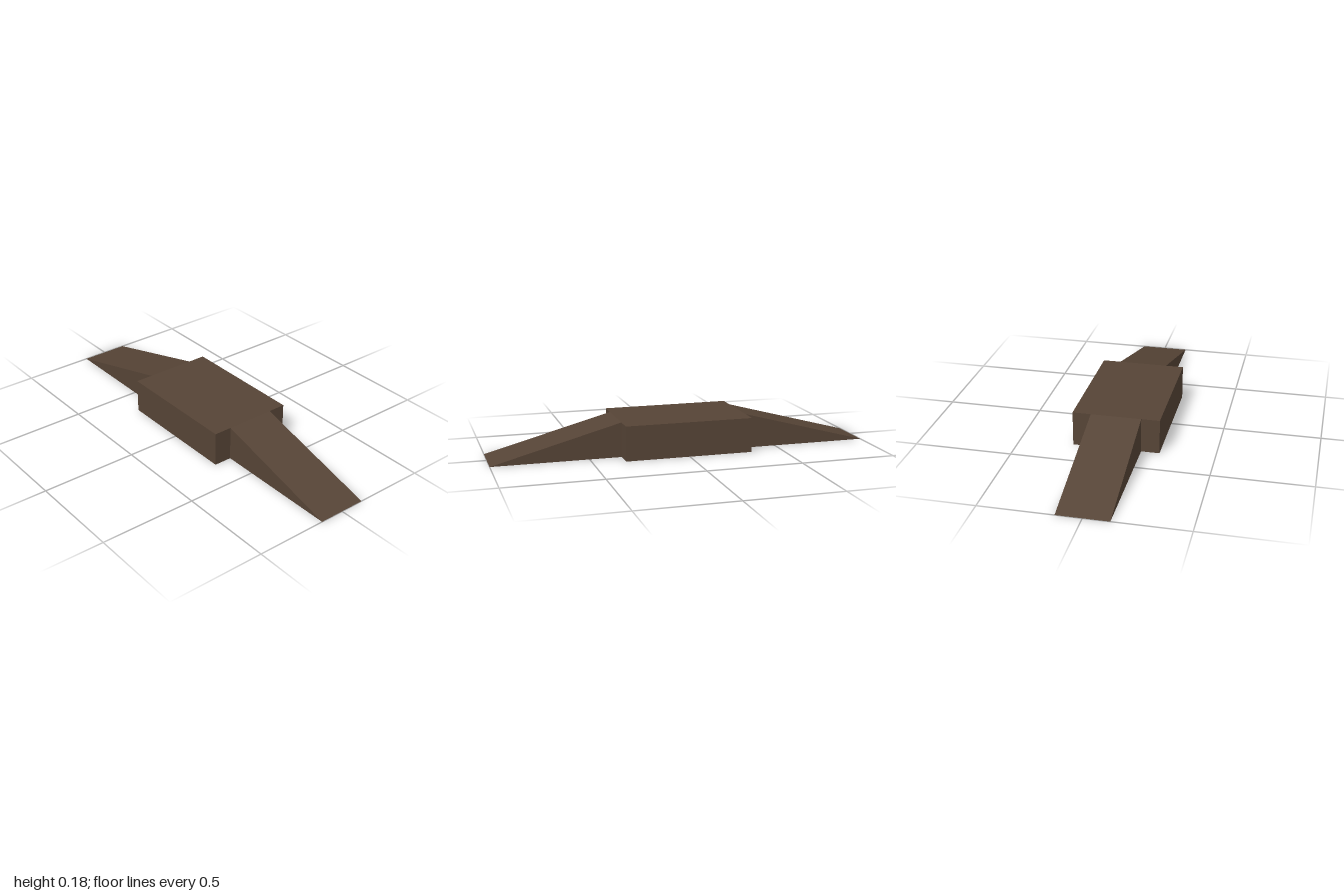
import * as THREE from 'three';

export function createModel() {
  const model = new THREE.Group();
  const brown = new THREE.MeshStandardMaterial({ color: 0x564436 });
  brown.name = 'darkBrown';

  const height = 0.18, deckHalf = 0.334, deckDepth = 0.444, rampDepth = 0.257;

  // Raised central platform
  const deck = new THREE.Mesh(new THREE.BoxGeometry(deckHalf * 2, height, deckDepth), brown);
  deck.name = 'platform';
  deck.position.y = height / 2;
  model.add(deck);

  // Wedge ramp, running down from the platform to the ground
  const profile = new THREE.Shape([
    new THREE.Vector2(deckHalf, 0),
    new THREE.Vector2(1, 0),
    new THREE.Vector2(deckHalf, height),
  ]);
  const wedge = new THREE.ExtrudeGeometry(profile, { depth: rampDepth, bevelEnabled: false });
  wedge.translate(0, 0, -rampDepth / 2);

  // One ramp on each side
  for (const [name, turn] of [['leftRamp', 0], ['rightRamp', Math.PI]]) {
    const ramp = new THREE.Mesh(wedge, brown);
    ramp.name = name;
    ramp.rotation.y = turn;
    model.add(ramp);
  }
  return model;
}
